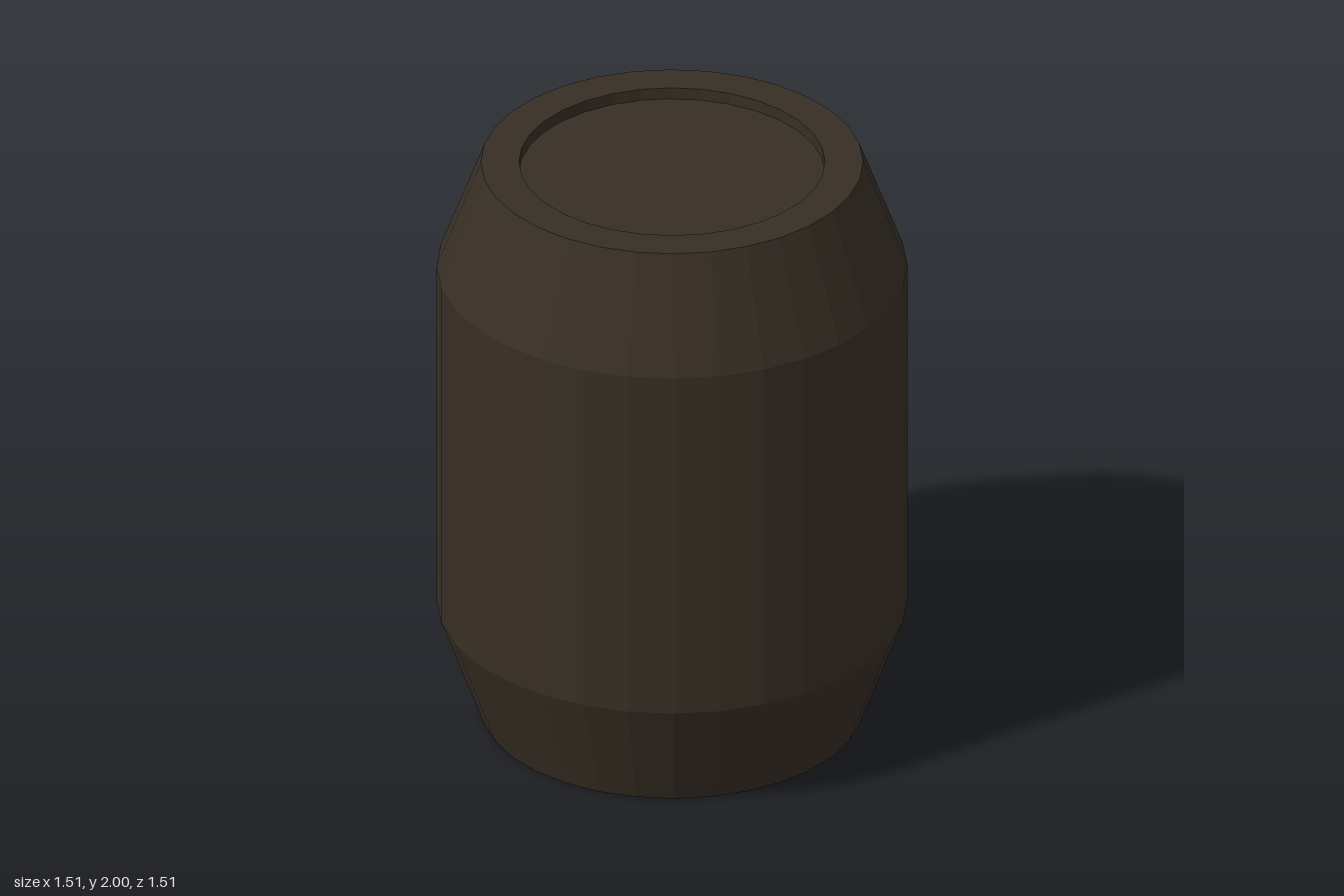
import * as THREE from 'three';

const SIDES = 32;

export function createModel() {
  const group = new THREE.Group();
  group.name = 'barrel';
  const darkWood = new THREE.MeshStandardMaterial({ color: 0x382f25, flatShading: true });
  darkWood.name = 'dark wood';

  // Turns a bottom-to-top [radius, height] profile into a faceted part
  const turned = (name, profile) => {
    const points = profile.map(([r, y]) => new THREE.Vector2(r, y));
    const mesh = new THREE.Mesh(new THREE.LatheGeometry(points, SIDES), darkWood);
    mesh.name = name;
    group.add(mesh);
  };

  // Staved wall, tapered at both ends
  turned('lowerTaper', [[0.615, 0], [0.757, 0.39]]);
  turned('wall', [[0.757, 0.39], [0.757, 1.62]]);
  turned('upperTaper', [[0.757, 1.62], [0.615, 2]]);

  // Flat rims with the lids set slightly inside them
  turned('bottomLid', [[0, 0.04], [0.492, 0.04], [0.492, 0], [0.615, 0]]);
  turned('topLid', [[0.615, 2], [0.492, 2], [0.492, 1.96], [0, 1.96]]);

  return group;
}
